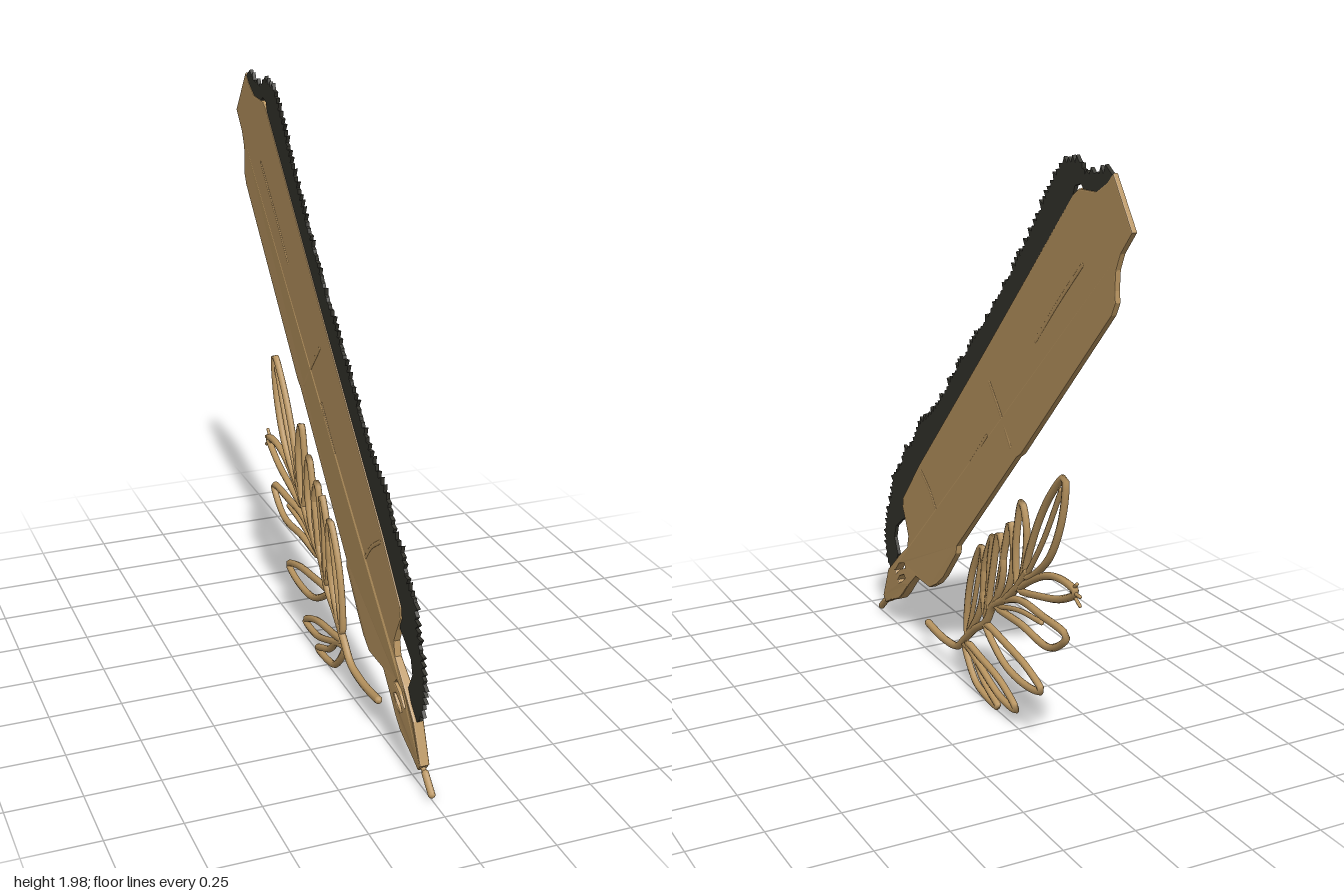
import * as THREE from 'three';

const tan = new THREE.MeshStandardMaterial({ color: 0xb8945f });
tan.name = 'tan';
const charcoal = new THREE.MeshStandardMaterial({ color: 0x34332c, side: THREE.DoubleSide });
charcoal.name = 'charcoal';

// Outlines are [z, y] pairs; everything lies flat in the plane x = 0.
const vec2 = (pts) => pts.map(([z, y]) => new THREE.Vector2(z, y));

function plate(name, pts, thickness, bevel, material, holes = [], halfScale = null) {
  const shape = new THREE.Shape(vec2(pts));
  holes.forEach((h) => shape.holes.push(new THREE.Path(vec2(h))));
  const geo = new THREE.ExtrudeGeometry(shape, {
    depth: thickness - 2 * bevel, bevelEnabled: bevel > 0, bevelThickness: bevel,
    bevelSize: bevel, bevelOffset: -bevel, bevelSegments: 2,
  });
  geo.translate(0, 0, bevel - thickness / 2);
  geo.rotateY(-Math.PI / 2);
  if (halfScale) {
    const p = geo.attributes.position;
    for (let i = 0; i < p.count; i++) p.setX(i, p.getX(i) * halfScale(p.getY(i)));
    geo.computeVertexNormals();
  }
  const mesh = new THREE.Mesh(geo, material);
  mesh.name = name;
  return mesh;
}

function strand(name, pts, radius, closed = false, x = 0, flat = 1) {
  const curve = new THREE.CatmullRomCurve3(
    pts.map(([z, y]) => new THREE.Vector3(0, y, z)), closed, 'centripetal');
  const mesh = new THREE.Mesh(new THREE.TubeGeometry(curve, pts.length * 7, radius, 8, closed), tan);
  mesh.scale.x = flat;
  mesh.position.x = x;
  mesh.name = name;
  if (!closed) {
    for (const [z, y] of [pts[0], pts[pts.length - 1]]) {
      const cap = new THREE.Mesh(new THREE.SphereGeometry(radius, 8, 6), tan);
      cap.position.set(0, y, z);
      cap.name = name + 'End';
      mesh.add(cap);
    }
  }
  return mesh;
}

// Broad flat blade running down into the pierced grip
function makeBlade() {
  const outline = [
    [-0.80, 1.96], [-0.91, 1.81], [-0.85, 1.74], [-0.828, 1.69], [-0.825, 1.63], [-0.83, 1.595],
    [-0.81, 1.555], [-0.27, 0.985], [-0.24, 0.965], [0.20, 0.51], [0.205, 0.48], [0.31, 0.355],
    [0.365, 0.307], [0.42, 0.275], [0.54, 0.275], [0.60, 0.22], [0.65, 0.165], [0.69, 0.13],
    [0.79, 0.085], [0.825, 0.065], [0.845, 0.09], [0.79, 0.217], [0.70, 0.30], [0.625, 0.36],
    [0.613, 0.41], [0.635, 0.46], [0.662, 0.51], [0.655, 0.55], [0.51, 0.72], [-0.02, 1.275],
    [-0.58, 1.87], [-0.61, 1.89], [-0.71, 1.895], [-0.77, 1.93],
  ];
  const holes = [
    [[0.725, 0.235], [0.69, 0.275], [0.645, 0.29], [0.635, 0.275], [0.68, 0.255], [0.715, 0.225]],
    [[0.70, 0.205], [0.685, 0.225], [0.645, 0.245], [0.635, 0.235], [0.665, 0.21], [0.69, 0.197]],
  ];
  const taper = (y) => (y < 0.32 ? 1.0 + 0.6 * Math.sin(Math.PI * y / 0.36) : 1.1 - 0.2 * y);
  return plate('blade', outline, 0.024, 0.004, tan, holes, taper);
}

// Ragged barbs along the blade's upper edge
function makeBarbs() {
  let seed = 7;
  const rand = () => (seed = (seed * 16807) % 2147483647) / 2147483647;
  const edge = [
    [0.79, 0.215], [0.815, 0.25], [0.83, 0.30], [0.83, 0.37], [0.80, 0.46], [0.765, 0.53],
    [0.75, 0.61], [0.69, 0.645], [0.645, 0.73], [0.58, 0.77], [0.525, 0.86], [0.39, 0.95],
    [0.285, 1.06], [0.155, 1.20], [-0.03, 1.385], [-0.22, 1.59], [-0.34, 1.735],
    [-0.44, 1.87], [-0.51, 1.95], [-0.61, 1.965], [-0.64, 1.935], [-0.77, 1.955],
  ];
  const inner = [
    [-0.80, 1.95], [-0.76, 1.92], [-0.70, 1.885], [-0.64, 1.885], [-0.62, 1.905], [-0.585, 1.895],
    [-0.56, 1.83], [0.0, 1.235], [0.50, 0.71], [0.63, 0.55], [0.65, 0.47], [0.69, 0.445],
    [0.735, 0.41], [0.75, 0.36], [0.72, 0.30], [0.75, 0.25],
  ];
  const outer = [];
  for (let i = 0; i < edge.length - 1; i++) {
    const [z0, y0] = edge[i], [z1, y1] = edge[i + 1];
    const len = Math.hypot(z1 - z0, y1 - y0), n = Math.max(2, Math.round(len / 0.025));
    const nz = (y1 - y0) / len, ny = -(z1 - z0) / len;
    for (let k = 0; k < n; k++) {
      const t = k / n, s = 0.004 + 0.024 * rand();
      outer.push([z0 + (z1 - z0) * t, y0 + (y1 - y0) * t]);
      // each barb leans a little along the edge
      const u = t + (0.3 + 0.3 * rand()) / n;
      outer.push([z0 + (z1 - z0) * u + nz * s, y0 + (y1 - y0) * u + ny * s]);
    }
  }
  return plate('barbs', [...outer, ...inner], 0.012, 0, charcoal);
}

// Leafy sprig: each leaf is an open loop given by base, one side, tip and other side
function makeSprig() {
  const sprig = new THREE.Group();
  sprig.name = 'sprig';
  const r = 0.0125;
  sprig.add(strand('stem', [
    [0.465, 0.115], [0.40, 0.107], [0.32, 0.104], [0.22, 0.12], [0.15, 0.18], [0.075, 0.245],
    [-0.005, 0.30], [-0.06, 0.38], [-0.15, 0.44], [-0.24, 0.52], [-0.30, 0.59],
  ], 0.014));
  const leaves = [
    [[0.16, 0.15], [0.09, 0.135], [0.02, 0.075], [-0.10, 0.018], [0.01, 0.022], [0.08, 0.045]],
    [[0.14, 0.165], [0.04, 0.15], [-0.12, 0.12], [-0.23, 0.065], [-0.12, 0.062], [0.0, 0.10]],
    [[0.0, 0.29], [-0.17, 0.275], [-0.31, 0.25], [-0.405, 0.21], [-0.31, 0.185], [-0.14, 0.20]],
    [[0.14, 0.20], [0.132, 0.34], [0.085, 0.48], [0.02, 0.57], [0.01, 0.44], [0.045, 0.32]],
    [[-0.005, 0.32], [-0.025, 0.42], [-0.04, 0.55], [-0.06, 0.635], [-0.02, 0.57], [0.015, 0.44]],
    [[-0.03, 0.36], [-0.055, 0.50], [-0.105, 0.66], [-0.135, 0.56], [-0.105, 0.45]],
    [[-0.09, 0.40], [-0.125, 0.55], [-0.185, 0.725], [-0.205, 0.60], [-0.16, 0.47]],
    [[-0.24, 0.51], [-0.222, 0.65], [-0.262, 0.82], [-0.295, 0.74], [-0.285, 0.62]],
    [[-0.29, 0.57], [-0.35, 0.74], [-0.45, 0.90], [-0.54, 0.985], [-0.53, 0.86], [-0.44, 0.68]],
    [[-0.25, 0.51], [-0.40, 0.61], [-0.52, 0.645], [-0.62, 0.635], [-0.53, 0.58], [-0.40, 0.54]],
    [[-0.08, 0.39], [-0.24, 0.47], [-0.40, 0.475], [-0.565, 0.465], [-0.46, 0.385], [-0.26, 0.39]],
  ];
  leaves.forEach((l) => sprig.add(strand('leaf', l, r, true)));
  // midribs on the larger leaves
  [
    [[0.13, 0.21], [0.085, 0.34], [0.025, 0.54]],
    [[-0.30, 0.58], [-0.41, 0.74], [-0.52, 0.94]],
    [[-0.09, 0.39], [-0.25, 0.435], [-0.40, 0.45]],
  ].forEach((m) => sprig.add(strand('midrib', m, 0.009)));
  // frayed points at the tip of one leaf
  for (const [z, y] of [[-0.645, 0.60], [-0.645, 0.63], [-0.625, 0.665]]) {
    sprig.add(strand('frayedTip', [[-0.59, 0.63], [z, y]], 0.006));
  }
  return sprig;
}

export function createModel() {
  const model = new THREE.Group();
  model.name = 'featherPenAndSprig';
  model.add(makeBlade(), makeBarbs(), makeSprig());

  // Thin neck and nib at the point
  model.add(strand('neck', [[0.82, 0.085], [0.86, 0.055]], 0.009));
  model.add(strand('nib', [[0.85, 0.065], [0.90, 0.02]], 0.0125));

  // Shallow creases on both faces of the blade
  const creases = [
    [[-0.05, 1.17], [-0.13, 1.08], [-0.20, 0.99]],
    [[-0.36, 1.38], [-0.50, 1.53], [-0.64, 1.67]],
    [[0.20, 0.74], [0.08, 0.86], [-0.03, 0.98]],
    [[0.49, 0.70], [0.42, 0.65], [0.36, 0.58]],
  ];
  for (const side of [-1, 1]) {
    creases.forEach((c) => {
      const x = side * 0.012 * (1.1 - 0.2 * c[1][1]);
      model.add(strand('crease', c, 0.007, false, x, 0.25));
    });
  }
  return model;
}
